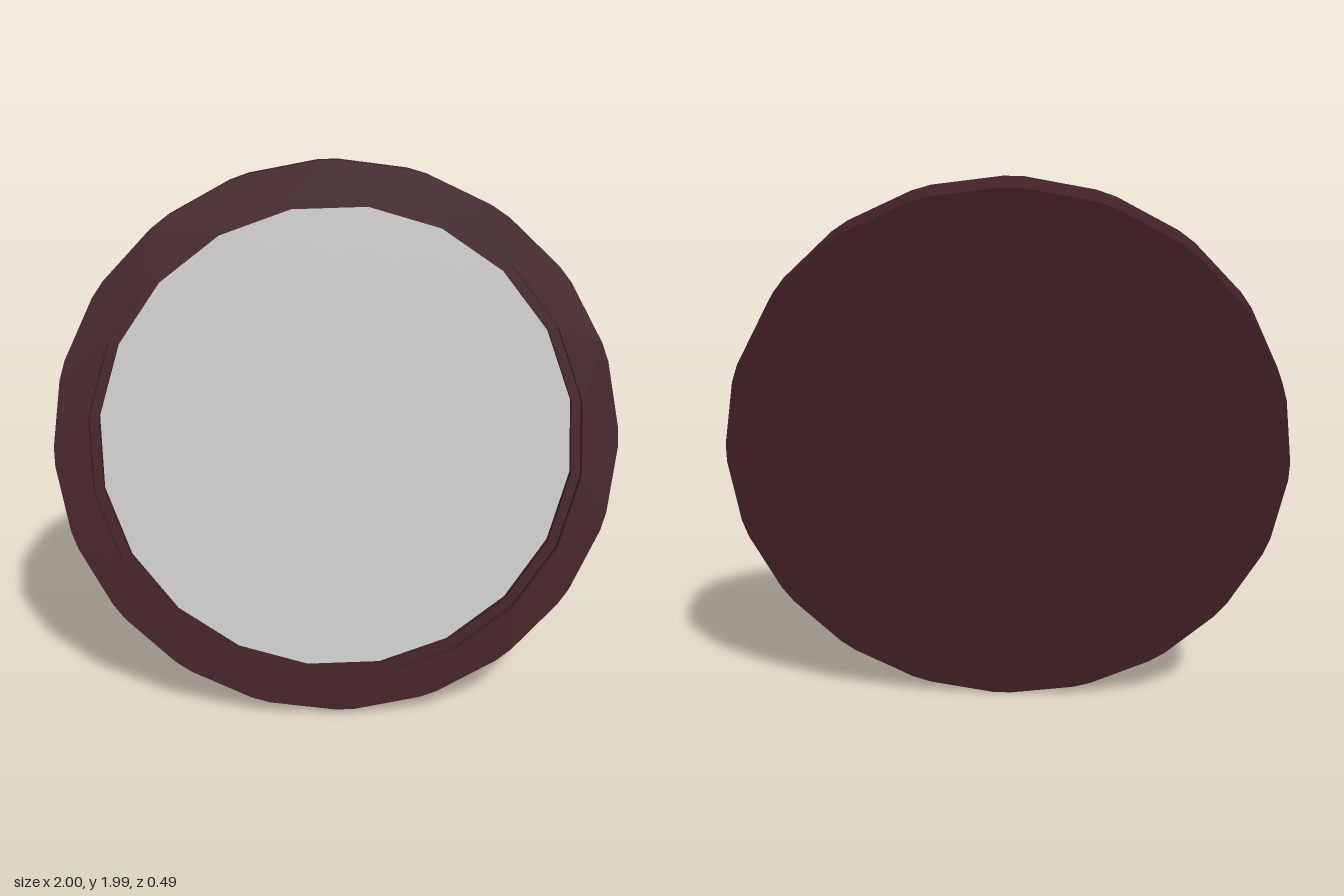
import * as THREE from 'three';

const SIDES = 20;
const STEP = (Math.PI * 2) / SIDES;
const FRONT = 0.068, BACK = -0.068; // frame thickness along its axis
const LEDGE = 0.038, PANE = 0.01; // stepped recess depths

// Outer outline: polygon with small cut corners
function outerLoop(radius) {
  const points = [];
  const cut = THREE.MathUtils.degToRad(2);
  for (let i = 0; i < SIDES; i++) {
    for (const a of [i * STEP - cut, i * STEP + cut]) {
      points.push(new THREE.Vector2(Math.cos(a) * radius, Math.sin(a) * radius));
    }
  }
  return points;
}

// Inner outline: plain polygon turned half a step
function innerLoop(radius) {
  return Array.from({ length: SIDES }, (_, i) => {
    const a = (i + 0.5) * STEP;
    return new THREE.Vector2(Math.cos(a) * radius, Math.sin(a) * radius);
  });
}

// Strip of quads between two loops with the same number of points
function band(loopA, zA, loopB, zB) {
  const positions = [];
  const n = loopA.length;
  for (let i = 0; i < n; i++) {
    const j = (i + 1) % n;
    const a = [loopA[i].x, loopA[i].y, zA];
    const b = [loopA[j].x, loopA[j].y, zA];
    const c = [loopB[j].x, loopB[j].y, zB];
    const d = [loopB[i].x, loopB[i].y, zB];
    positions.push(...a, ...b, ...c, ...a, ...c, ...d);
  }
  const geometry = new THREE.BufferGeometry();
  geometry.setAttribute('position', new THREE.Float32BufferAttribute(positions, 3));
  geometry.computeVertexNormals();
  return geometry;
}

// Flat face, optionally with a hole
function face(loop, z, hole) {
  const shape = new THREE.Shape(loop);
  if (hole) shape.holes.push(new THREE.Path(hole));
  return new THREE.ShapeGeometry(shape).translate(0, 0, z);
}

export function createModel() {
  const frameMaterial = new THREE.MeshStandardMaterial({ color: 0x432126, flatShading: true });
  const paneMaterial = new THREE.MeshStandardMaterial({ color: 0xcccccc, flatShading: true });

  const rim = outerLoop(1);
  const lip = innerLoop(0.882);
  const opening = innerLoop(0.848);

  const disc = new THREE.Group();
  disc.name = 'roundMirror';
  const frame = new THREE.Group();
  frame.name = 'frame';
  disc.add(frame);

  const add = (parent, name, geometry, material) => {
    const mesh = new THREE.Mesh(geometry, material);
    mesh.name = name;
    parent.add(mesh);
  };

  // Frame: rim, front ring, stepped recess and closed back
  add(frame, 'outerRim', band(rim, BACK, rim, FRONT), frameMaterial);
  add(frame, 'frontRing', face(rim, FRONT, lip), frameMaterial);
  add(frame, 'lipWall', band(lip, FRONT, lip, LEDGE), frameMaterial);
  add(frame, 'ledge', band(lip, LEDGE, opening, LEDGE), frameMaterial);
  add(frame, 'openingWall', band(opening, LEDGE, opening, PANE), frameMaterial);
  add(frame, 'backPanel', face(rim, -BACK).rotateX(Math.PI), frameMaterial);

  // Mirror pane at the bottom of the recess
  add(disc, 'mirrorPane', face(opening, PANE), paneMaterial);

  // Leaning back, turned slightly to its left and rolled a little
  const deg = THREE.MathUtils.degToRad;
  disc.rotation.set(deg(-9.7), deg(3.5), deg(1.5), 'YXZ');
  disc.position.y = 0.997;

  const model = new THREE.Group();
  model.name = 'tiltedMirror';
  model.add(disc);
  return model;
}
